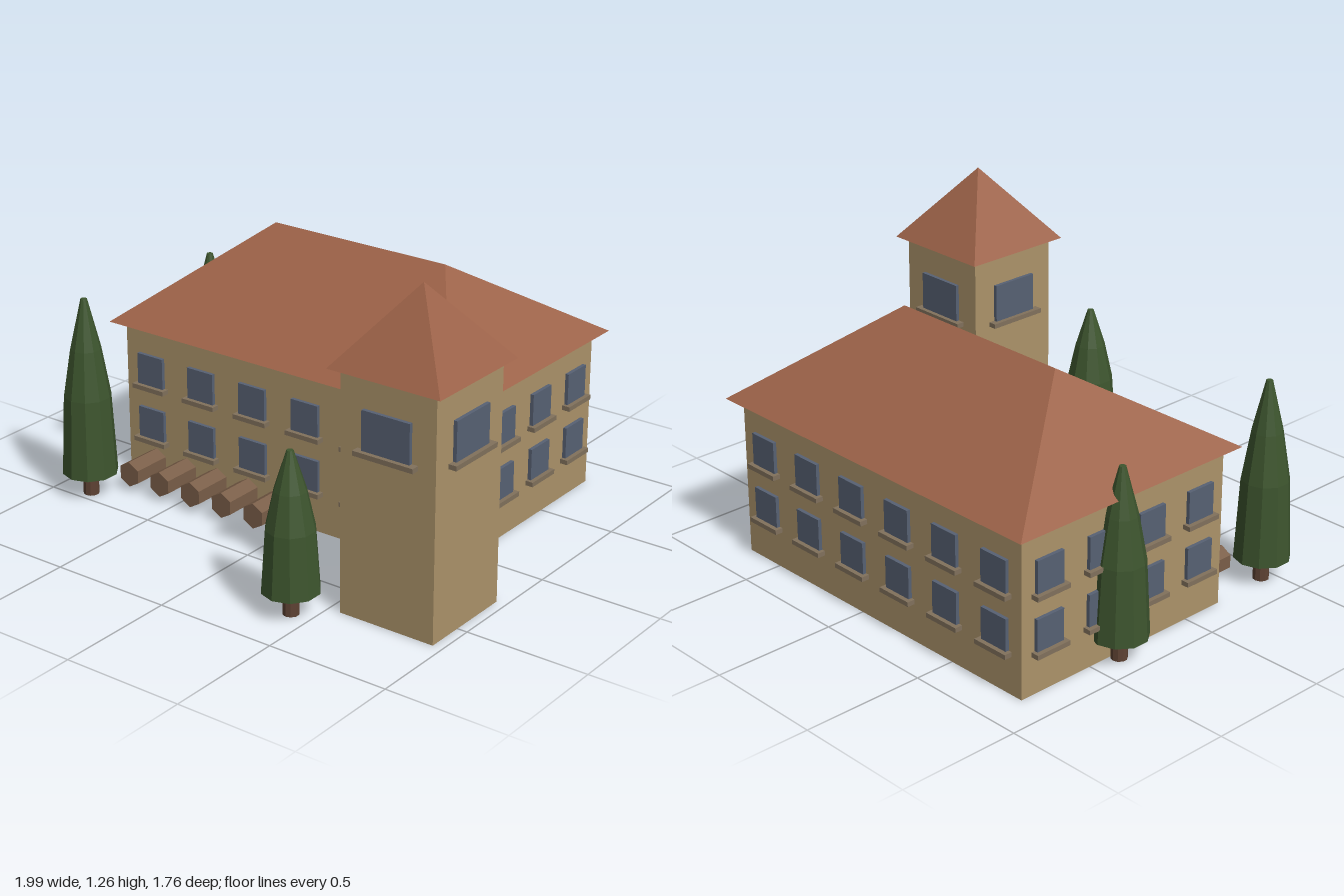
import * as THREE from 'three';
import { ConvexGeometry } from 'three/addons/geometries/ConvexGeometry.js';

export function createModel() {
  const root = new THREE.Group();
  root.name = 'villa';

  const material = (name, color, flatShading = false) => {
    const m = new THREE.MeshStandardMaterial({ color, flatShading });
    m.name = name;
    return m;
  };
  const wall = material('sandstone wall', 0xac936a);
  const tile = material('terracotta tile', 0x9c6248);
  const glass = material('blue glass', 0x576173);
  const stone = material('sill stone', 0x81715c);
  const timber = material('log timber', 0x7a5e48, true);
  const bark = material('bark', 0x5e4233, true);
  const leaf = material('cypress green', 0x3d552e, true);

  function add(parent, name, geometry, mat, x = 0, y = 0, z = 0) {
    const mesh = new THREE.Mesh(geometry, mat);
    mesh.name = name;
    mesh.position.set(x, y, z);
    parent.add(mesh);
    return mesh;
  }

  // Hipped roof; a ridge of zero length gives a pyramid
  function hipRoof(width, depth, height, ridge) {
    const w = width / 2, d = depth / 2, pts = [];
    for (const sx of [-1, 1]) {
      for (const sz of [-1, 1]) pts.push(new THREE.Vector3(sx * w, 0, sz * d));
      if (ridge > 0) pts.push(new THREE.Vector3(sx * ridge / 2, height, 0));
    }
    if (ridge === 0) pts.push(new THREE.Vector3(0, height, 0));
    return new ConvexGeometry(pts);
  }

  // Raised pane with a projecting sill; y is the bottom of the pane
  function addWindow(parent, x, y, z, w, h, sillWidth) {
    const group = new THREE.Group();
    group.name = 'window';
    group.position.set(x, y, z);
    add(group, 'pane', new THREE.BoxGeometry(w, h, 0.03), glass, 0, h / 2, 0);
    add(group, 'sill', new THREE.BoxGeometry(sillWidth, 0.019, 0.034), stone, 0, -0.0095, 0.016);
    parent.add(group);
  }

  // Block with walls, roof and rows of windows on all four sides
  function addBuilding(name, o) {
    const group = new THREE.Group();
    group.name = name;
    group.position.set(o.x, 0, o.z);
    add(group, 'walls', new THREE.BoxGeometry(o.w, o.h, o.d), wall, 0, o.h / 2, 0);
    add(group, 'roof', hipRoof(o.w + o.eave * 2, o.d + o.eave * 2, o.roofH, o.ridge), tile, 0, o.h, 0);
    for (let side = 0; side < 4; side++) {
      const face = new THREE.Group();
      face.name = 'facade';
      face.rotation.y = side * Math.PI / 2;
      const across = side % 2 === 0;
      const span = across ? o.w : o.d;
      const out = (across ? o.d : o.w) / 2;
      const count = across ? o.nx : o.nz;
      for (const y of o.rows)
        for (let i = 0; i < count; i++)
          addWindow(face, ((i + 0.5) / count - 0.5) * span, y, out, ...o.win);
      group.add(face);
    }
    root.add(group);
  }

  addBuilding('mainHouse', {
    x: -0.092, z: -0.328, w: 1.545, d: 1.015, h: 0.65, eave: 0.048, roofH: 0.35, ridge: 0.82,
    nx: 6, nz: 4, rows: [0.174, 0.404], win: [0.128, 0.129, 0.158],
  });
  addBuilding('tower', {
    x: 0.755, z: 0.45, w: 0.407, d: 0.41, h: 0.957, eave: 0.036, roofH: 0.302, ridge: 0,
    nx: 1, nz: 1, rows: [0.675], win: [0.205, 0.155, 0.258],
  });

  // Row of hexagonal logs against the front wall
  const logGeometry = new THREE.CylinderGeometry(0.053, 0.053, 0.18, 6).rotateX(Math.PI / 2);
  for (let i = 0; i < 5; i++)
    add(root, 'log', logGeometry, timber, -0.724 + i * 0.1575, 0.077, 0.26);

  // Cypresses: ten-sided crowns on short trunks
  const profile = [[0, 0], [0.112, 0], [0.095, 0.45], [0.062, 0.72], [0.013, 1], [0, 1]];
  for (const [x, z, top] of [[-0.844, 0.445, 0.83], [-0.892, -0.378, 0.77], [0.414, 0.766, 0.648]]) {
    const tree = new THREE.Group();
    tree.name = 'cypress';
    tree.position.set(x, 0, z);
    const points = profile.map(([r, t]) => new THREE.Vector2(r, t * (top - 0.097)));
    add(tree, 'crown', new THREE.LatheGeometry(points, 10), leaf, 0, 0.097, 0);
    add(tree, 'trunk', new THREE.CylinderGeometry(0.032, 0.032, 0.12, 10), bark, 0, 0.06, 0);
    root.add(tree);
  }

  return root;
}
